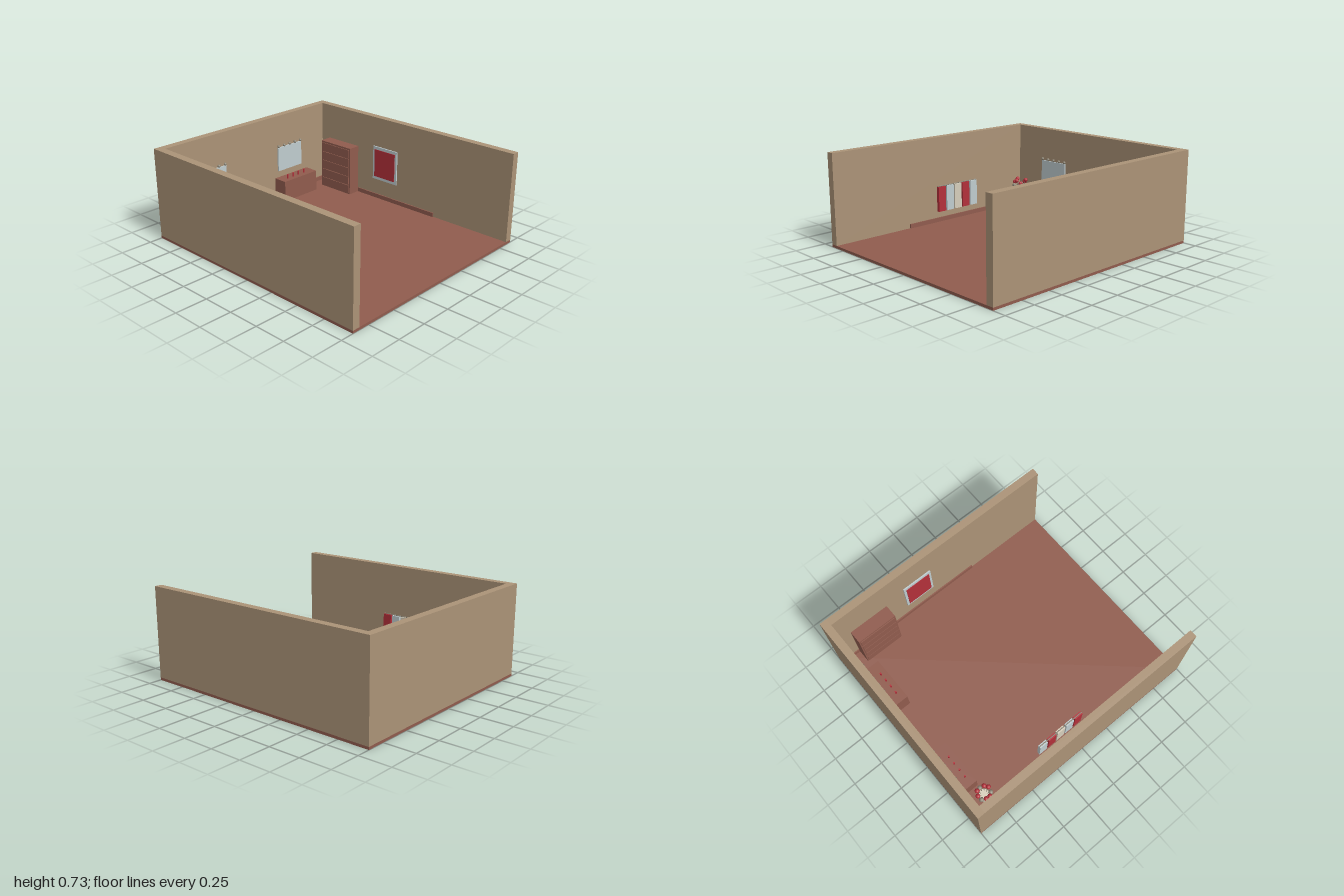
import * as THREE from 'three';

const mat = (name, color) => new THREE.MeshStandardMaterial({ name, color });

export function createModel() {
  const room = new THREE.Group();
  room.name = 'dressingRoom';
  const wall = mat('tan wall', 0xab9377);
  const wood = mat('red brown wood', 0x905c4e);
  const glass = mat('pale mirror', 0xbfcccf);
  const red = mat('red', 0xb3303a);
  const cream = mat('cream', 0xd6cebb);
  const bulb = mat('warm grey', 0x8f8878);

  const add = (name, geo, material, x, y, z, parent = room) => {
    const m = new THREE.Mesh(geo, material);
    m.name = name;
    m.position.set(x, y, z);
    parent.add(m);
    return m;
  };
  // box given by its min and max on each axis
  const box = (name, material, x0, x1, y0, y1, z0, z1, parent) =>
    add(name, new THREE.BoxGeometry(x1 - x0, y1 - y0, z1 - z0), material,
      (x0 + x1) / 2, (y0 + y1) / 2, (z0 + z1) / 2, parent);
  const group = (name) => {
    const g = new THREE.Group();
    g.name = name;
    room.add(g);
    return g;
  };

  // Shell
  box('floor', wood, -0.895, 0.895, 0, 0.02, -1, 1);
  box('backWall', wall, -0.895, 0.895, 0.02, 0.73, -1, -0.94);
  box('rightWall', wall, -0.895, -0.835, 0.02, 0.73, -0.94, 1);
  box('leftWall', wall, 0.835, 0.895, 0.02, 0.73, -0.94, 1);

  // Skirting boards
  box('backSkirting', wood, -0.835, 0.835, 0.02, 0.055, -0.94, -0.93);
  box('rightSkirting', wood, -0.835, -0.825, 0.02, 0.055, -0.93, 0.31);
  box('leftSkirting', wood, 0.825, 0.835, 0.02, 0.055, -0.93, 0.31);

  // Two vanities with bottles, a mirror and a row of bulbs
  for (const cx of [-0.417, 0.417]) {
    const v = group('vanity');
    box('counter', wood, cx - 0.186, cx + 0.186, 0.02, 0.197, -0.918, -0.796, v);
    box('mirror', glass, cx - 0.135, cx + 0.135, 0.245, 0.453, -0.938, -0.926, v);
    for (let i = 0; i < 5; i++)
      add('bulb', new THREE.SphereGeometry(0.012, 12, 8), bulb, cx + (i - 2) * 0.063, 0.465, -0.928, v);
    // bottles sit a little towards the room's right
    for (let i = 0; i < 4; i++)
      add('bottle', new THREE.CylinderGeometry(0.007, 0.007, 0.034, 10), red,
        cx - 0.014 + (i - 1.5) * 0.063, 0.214, -0.845, v);
  }

  // Chest with thin drawer fronts
  const chest = group('chest');
  box('chestBody', wood, 0.72, 0.825, 0.02, 0.437, -0.84, -0.505, chest);
  for (let i = 0; i < 5; i++)
    box('drawerFront', wood, 0.713, 0.72, 0.03 + i * 0.08, 0.102 + i * 0.08, -0.828, -0.517, chest);

  // Framed panel on the left wall
  const panel = group('wallPanel');
  box('panelFrame', glass, 0.824, 0.835, 0.19, 0.48, -0.335, -0.08, panel);
  box('panelFace', red, 0.819, 0.824, 0.215, 0.455, -0.315, -0.1, panel);

  // Hanging garments on a rail
  const rack = group('clothesRack');
  const rail = add('rail', new THREE.CylinderGeometry(0.004, 0.004, 0.41, 8), bulb, -0.73, 0.35, -0.105, rack);
  rail.rotation.x = Math.PI / 2;
  [glass, red, cream, glass, red].forEach((m, i) => {
    const z = -0.273 + i * 0.084;
    box('garment', m, -0.743, -0.717, 0.14, 0.345, z - 0.036, z + 0.036, rack);
  });

  // Vase with a ring of nine blossoms
  const vase = group('flowerVase');
  const vx = -0.712, vz = -0.816;
  add('vaseBody', new THREE.CylinderGeometry(0.038, 0.032, 0.17, 12), cream, vx, 0.105, vz, vase);
  for (let i = 0; i < 9; i++) {
    const a = i * Math.PI * 2 / 9;
    const tip = new THREE.Vector3(vx + Math.cos(a) * 0.05, 0.222 + (i % 3) * 0.022, vz + Math.sin(a) * 0.05);
    const root = new THREE.Vector3(vx + Math.cos(a) * 0.025, 0.185, vz + Math.sin(a) * 0.025);
    add('stem', new THREE.TubeGeometry(new THREE.LineCurve3(root, tip), 1, 0.003, 5), bulb, 0, 0, 0, vase);
    add('blossom', new THREE.SphereGeometry(0.018, 12, 8), i % 3 ? red : bulb, tip.x, tip.y, tip.z, vase);
  }
  return room;
}
